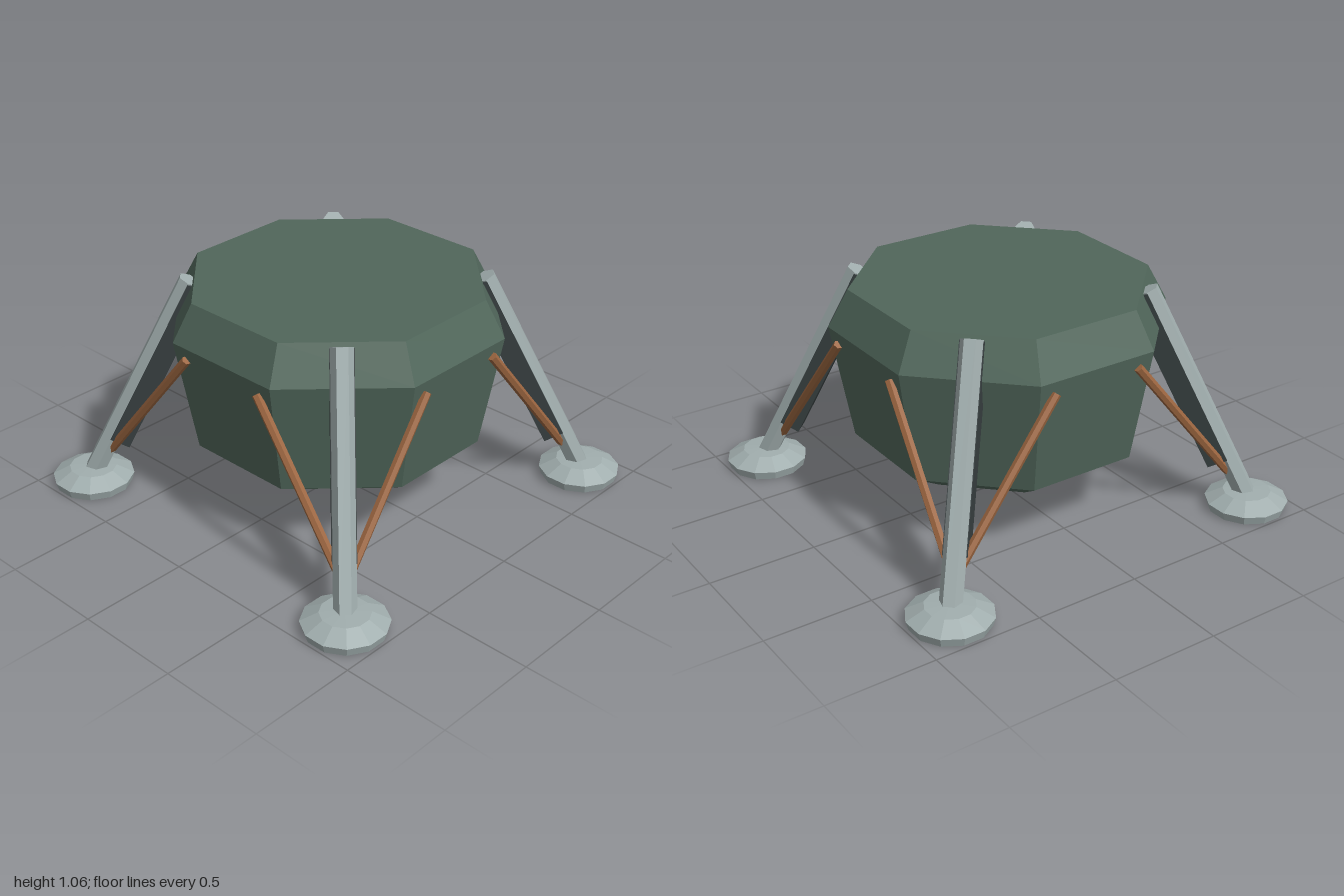
import * as THREE from 'three';

const paint = (name, color) => {
  const m = new THREE.MeshStandardMaterial({ color });
  m.name = name;
  m.flatShading = true;
  return m;
};

export function createModel() {
  const green = paint('hull green', 0x50665a);
  const grey = paint('leg grey', 0xa0adad);
  const dark = paint('dark metal', 0x384041);
  const copper = paint('copper', 0x9c6640);

  const root = new THREE.Group();
  root.name = 'landerBase';
  const add = (parent, name, geometry, material) => {
    const mesh = new THREE.Mesh(geometry, material);
    mesh.name = name;
    parent.add(mesh);
    return mesh;
  };
  // closed low-poly solid of revolution from [radius, y] points, bottom to top
  const turned = (points, sides, start = 0) =>
    new THREE.LatheGeometry(points.map(p => new THREE.Vector2(p[0], p[1])), sides, start);
  // six-sided rod between two points
  const rod = (parent, name, a, b, r, material) => {
    const d = b.clone().sub(a);
    const mesh = add(parent, name, new THREE.CylinderGeometry(r, r, d.length(), 6), material);
    mesh.position.copy(a).add(b).multiplyScalar(0.5);
    mesh.quaternion.setFromUnitVectors(new THREE.Vector3(0, 1, 0), d.normalize());
    return mesh;
  };

  // octagonal hull, profile given by flat-to-centre distances
  const k = 1 / Math.cos(Math.PI / 8);
  const hull = [[0, 0.23], [0.46, 0.23], [0.625, 0.34], [0.715, 0.88], [0.63, 1.05], [0, 1.05]];
  add(root, 'hull', turned(hull.map(([r, y]) => [r * k, y]), 8, Math.PI / 8), green);

  // stepped engine bell with copper bands
  const bell = [[0, 0.108], [0.245, 0.108], [0.222, 0.14], [0.235, 0.14], [0.205, 0.175],
    [0.215, 0.175], [0.188, 0.21], [0.198, 0.21], [0.18, 0.235], [0, 0.235]];
  add(root, 'engineBell', turned(bell, 16), dark);
  for (const [r, y] of [[0.238, 0.141], [0.218, 0.176], [0.2, 0.211]]) {
    const band = add(root, 'bellBand', new THREE.CylinderGeometry(r, r, 0.007, 16), copper);
    band.position.y = y;
  }

  // four legs, each built facing +z and turned to its corner
  const s = Math.SQRT2;
  const top = new THREE.Vector3(0, 1.04, 0.462 * s);
  const foot = new THREE.Vector3(0, 0.05, 0.812 * s);
  const axis = foot.clone().sub(top);
  const tilt = Math.atan2(axis.z, -axis.y);
  for (let i = 0; i < 4; i++) {
    const leg = new THREE.Group();
    leg.name = 'landingLeg';
    leg.rotation.y = Math.PI / 4 + i * Math.PI / 2;
    root.add(leg);

    // main beam with a flat face outward
    const beam = new THREE.Group();
    beam.name = 'legBeam';
    beam.position.copy(top);
    beam.rotation.x = -tilt;
    leg.add(beam);
    const len = axis.length();
    const strut = new THREE.CylinderGeometry(0.05, 0.05, len, 6);
    strut.rotateY(Math.PI / 6);
    add(beam, 'mainStrut', strut, grey).position.y = -len / 2;

    // dark backing box on the inner side
    add(beam, 'strutHousing', new THREE.BoxGeometry(0.104, 0.88, 0.095), dark)
      .position.set(0, -0.445, -0.045);

    // foot pad
    const pad = [[0, 0], [0.178, 0], [0.19, 0.04], [0.11, 0.083], [0, 0.09]];
    add(leg, 'footPad', turned(pad, 12, Math.PI / 6), grey).position.set(0, 0, 0.812 * s);

    // pair of braces to the neighbouring hull sides
    for (const side of [-1, 1]) {
      const turn = p => new THREE.Vector3(side * (p.z - p.x) / s, p.y, (p.x + p.z) / s);
      rod(leg, 'brace', turn(new THREE.Vector3(0.215, 0.825, 0.712)),
        turn(new THREE.Vector3(0.735, 0.18, 0.757)), 0.021, copper);
    }
  }
  return root;
}
